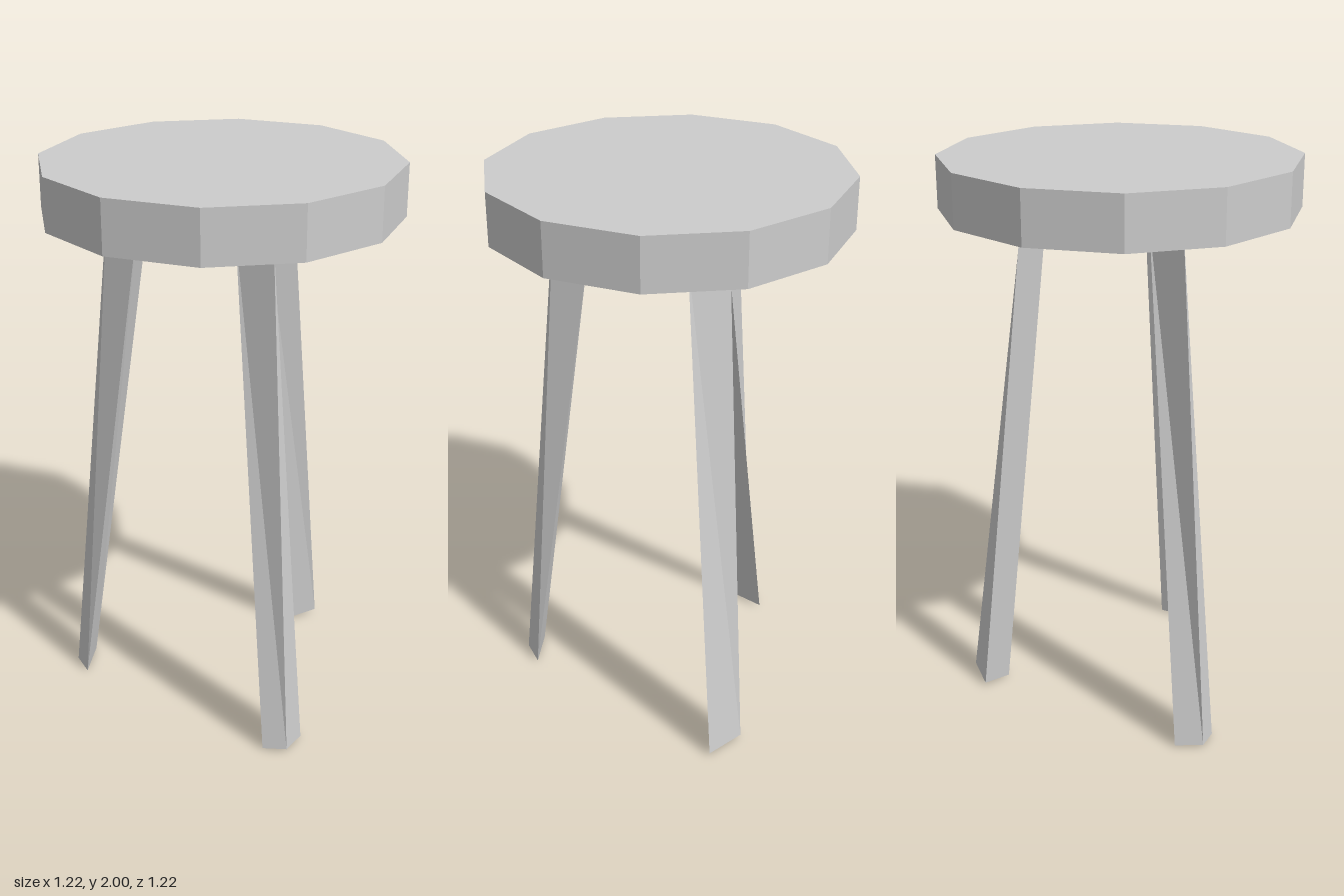
import * as THREE from 'three';

const SEAT_BOTTOM = 1.82;

// Three-sided leg between a bottom and a top triangle, corners anticlockwise from above
function legGeometry(bottom, top) {
  const pos = [];
  const add = (...pts) => pts.forEach((p) => pos.push(...p));
  for (let i = 0; i < 3; i++) {
    const j = (i + 1) % 3;
    add(bottom[i], bottom[j], top[i]);
    add(bottom[j], top[j], top[i]);
  }
  add(bottom[0], bottom[2], bottom[1]);
  add(top[0], top[1], top[2]);
  const geo = new THREE.BufferGeometry();
  geo.setAttribute('position', new THREE.Float32BufferAttribute(pos, 3));
  geo.computeVertexNormals();
  return geo;
}

// Mirror a triangle front to back, keeping its winding
const mirrorZ = ([a, b, c]) => [a, c, b].map(([x, y, z]) => [x, y, -z]);

export function createModel() {
  const group = new THREE.Group();
  const grey = new THREE.MeshStandardMaterial({ color: 0xcccccc, flatShading: true });
  grey.name = 'plain grey';

  const add = (name, geometry) => {
    const mesh = new THREE.Mesh(geometry, grey);
    mesh.name = name;
    group.add(mesh);
    return mesh;
  };

  // Twelve-sided seat
  const thickness = 2 - SEAT_BOTTOM;
  add('seat', new THREE.CylinderGeometry(0.612, 0.612, thickness, 12)).position.y =
    SEAT_BOTTOM + thickness / 2;

  // Splayed legs, slightly twisted
  const y = SEAT_BOTTOM;
  add('leftLeg', legGeometry(
    [[0.43, 0, 0], [0.562, 0.01, 0.072], [0.514, 0.01, -0.072]],
    [[0.247, y, 0], [0.33, y, 0.072], [0.33, y, -0.072]],
  ));

  const footCorners = [[-0.283, 0.01, 0.488], [-0.183, 0.005, 0.482], [-0.32, 0.003, 0.41]];
  const topCorners = [[-0.192, y, 0.338], [-0.088, y, 0.238], [-0.198, y, 0.197]];
  add('frontRightLeg', legGeometry(footCorners, topCorners));
  add('backRightLeg', legGeometry(mirrorZ(footCorners), mirrorZ(topCorners)));

  return group;
}
